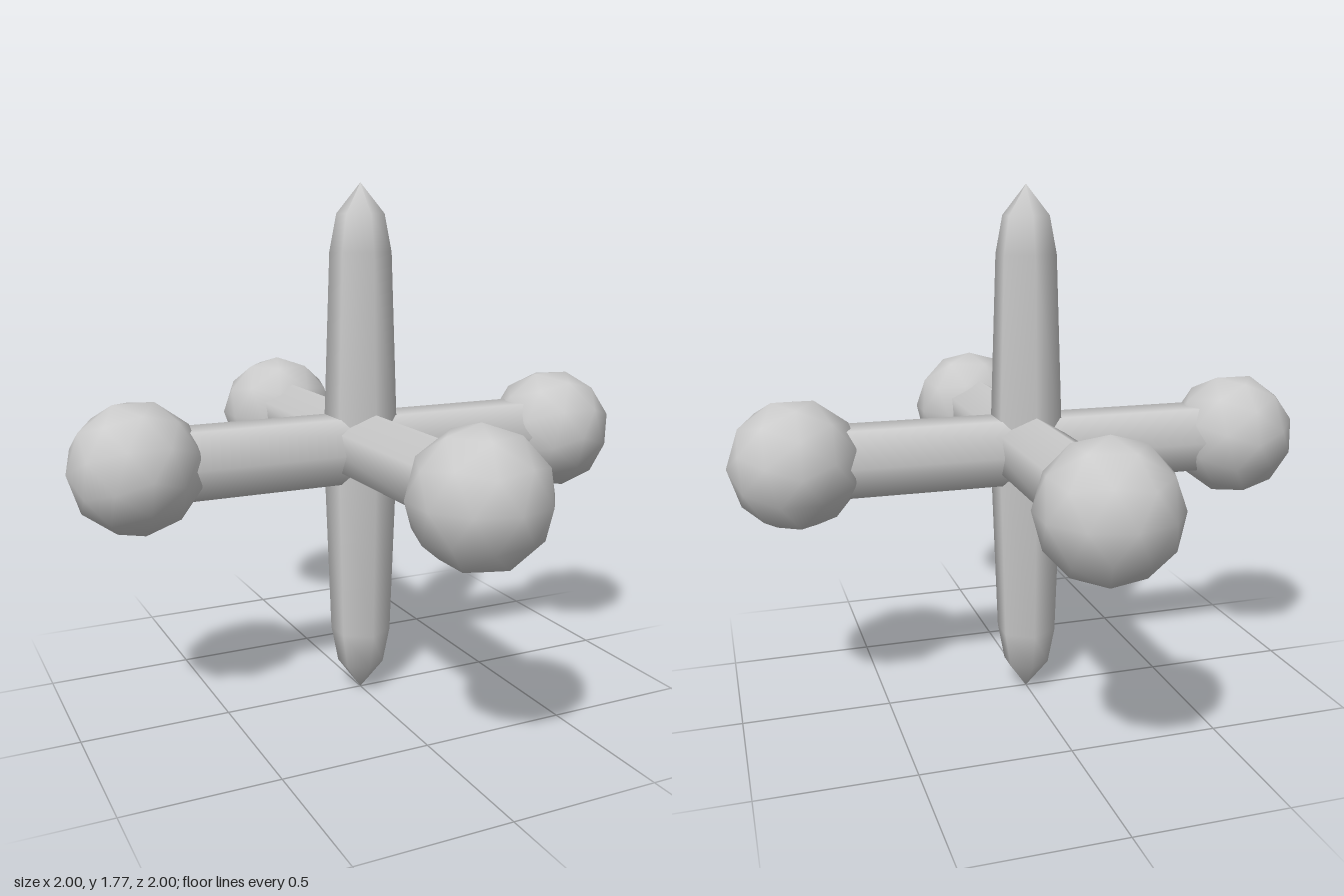
import * as THREE from 'three';

const CENTER_Y = 0.885;

export function createModel() {
  const model = new THREE.Group();
  const material = new THREE.MeshStandardMaterial({ color: 0xcccccc });

  const add = (parent, geometry, name) => {
    const mesh = new THREE.Mesh(geometry, material);
    mesh.name = name;
    parent.add(mesh);
    return mesh;
  };

  // Six-sided upright spike, mirrored about its middle and pointed at both ends
  const half = [[0, 0.885], [0.08, 0.785], [0.104, 0.66]];
  const profile = [
    ...half.map(([r, y]) => new THREE.Vector2(r, -y)),
    new THREE.Vector2(0.127, 0),
    ...half.slice().reverse().map(([r, y]) => new THREE.Vector2(r, y)),
  ];
  add(model, new THREE.LatheGeometry(profile, 6), 'spike').position.y = CENTER_Y;

  // Ball with a vertex at its top and a ten-sided waist
  const ballGeometry = new THREE.IcosahedronGeometry(0.218, 1);
  ballGeometry.rotateZ(Math.atan(2 / (1 + Math.sqrt(5))));

  // Six-sided bar along z, with ridges above and below
  const barGeometry = new THREE.CylinderGeometry(0.129, 0.129, 1.56, 6, 1, true);
  barGeometry.rotateX(Math.PI / 2);

  // Horizontal bar with a ball on each end
  const crossBar = (name) => {
    const group = new THREE.Group();
    group.name = name;
    group.position.y = CENTER_Y;
    add(group, barGeometry, 'bar');
    for (const side of [-1, 1]) {
      add(group, ballGeometry, 'ball').position.z = side * 0.782;
    }
    model.add(group);
    return group;
  };

  crossBar('frontToBackBar');

  // Second bar: axes turned in a cycle, x to y, y to z, z to x
  const turn = new THREE.Matrix4().makeBasis(
    new THREE.Vector3(0, 1, 0),
    new THREE.Vector3(0, 0, 1),
    new THREE.Vector3(1, 0, 0)
  );
  crossBar('sideToSideBar').quaternion.setFromRotationMatrix(turn);

  return model;
}
